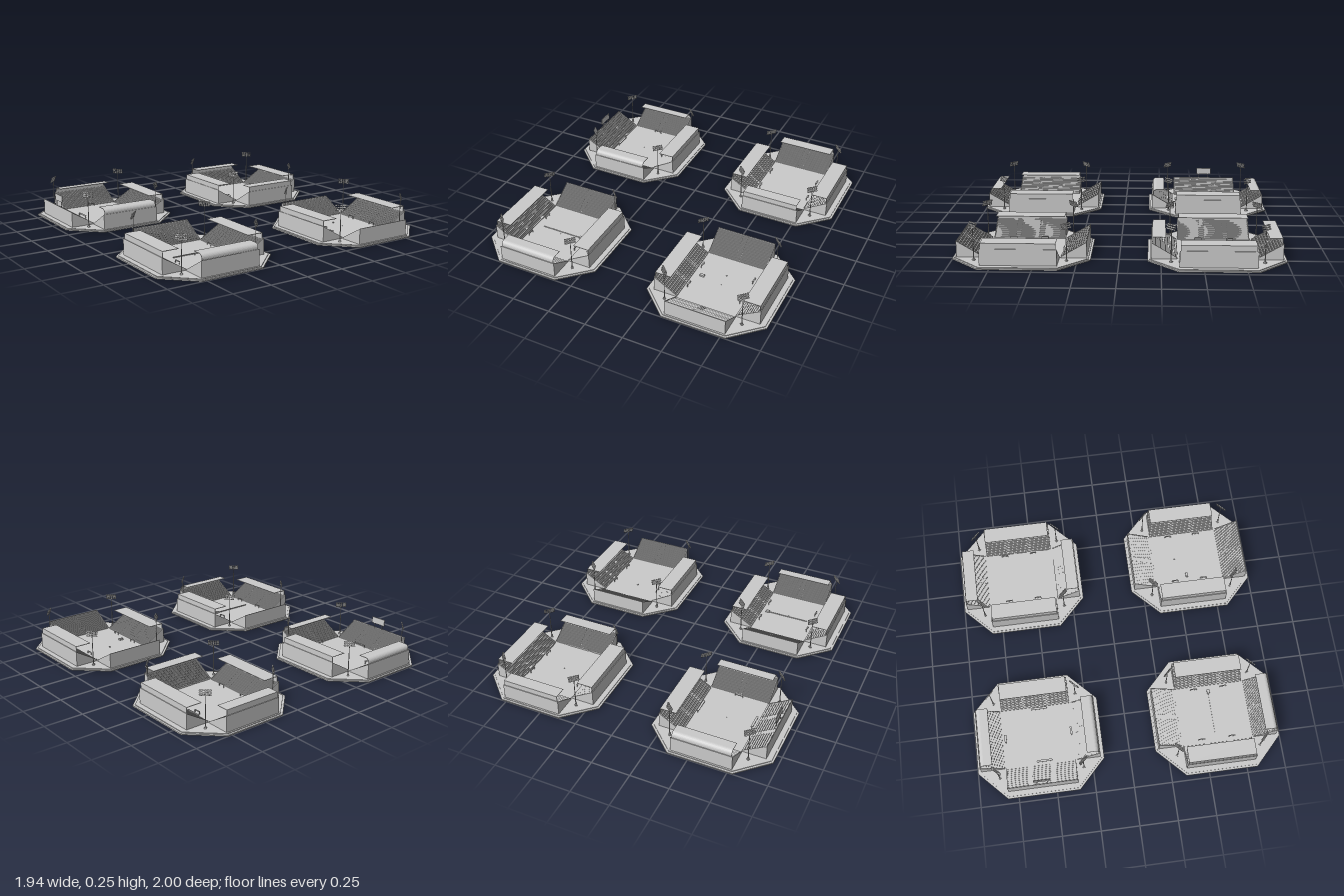
import * as THREE from 'three';

const mat = new THREE.MeshStandardMaterial({ color: 0xcccccc, flatShading: true, side: THREE.DoubleSide });
const GROUND = 0.013, DEPTH = 0.153, WALL = 0.112, ROWS = 10;

function add(parent, name, geometry, x = 0, y = 0, z = 0) {
  const mesh = new THREE.Mesh(geometry, mat);
  mesh.name = name;
  mesh.position.set(x, y, z);
  parent.add(mesh);
  return mesh;
}

const box = (parent, name, w, h, d, x, y, z) =>
  add(parent, name, new THREE.BoxGeometry(w, h, d), x, y, z);

// Extrudes a (depth, height) profile sideways, centred on x
function prism(points, width) {
  const shape = new THREE.Shape(points.map(([a, b]) => new THREE.Vector2(a, b)));
  const g = new THREE.ExtrudeGeometry(shape, { depth: width, bevelEnabled: false });
  g.rotateY(-Math.PI / 2);
  g.translate(width / 2, 0, 0);
  return g;
}

// Octagonal slab with unequal sides
function octagon(hx, hz, cx, cz, y0, height) {
  const s = new THREE.Shape([[cx, hz], [-cx, hz], [-hx, cz], [-hx, -cz], [-cx, -hz], [cx, -hz], [hx, -cz], [hx, cz]]
    .map(([x, z]) => new THREE.Vector2(x, z)));
  const g = new THREE.ExtrudeGeometry(s, { depth: height, bevelEnabled: false });
  g.rotateX(-Math.PI / 2);
  g.translate(0, y0, 0);
  return g;
}

// Staircase profile running from the pitch up to the rear wall
function stepProfile(rows, y0, y1, depth) {
  const pts = [[0, GROUND]];
  for (let i = 0; i < rows; i++) {
    const y = y0 + (y1 - y0) * i / (rows - 1);
    pts.push([depth * i / rows, y], [depth * (i + 1) / rows, y]);
  }
  pts.push([depth, GROUND]);
  return pts;
}

// Cantilevered roof: flat or with a rounded rear shoulder
function roofGeometry(kind, width, reach) {
  const t = 0.003, back = DEPTH - 0.006, top = 0.146;
  const outer = [[back, WALL - 0.01]];
  const inner = [[back - t, WALL - 0.01]];
  const r = kind === 'curved' ? 0.026 : 0;
  const n = r ? 6 : 0;
  for (let i = 0; i <= n; i++) {
    const a = n ? i / n * Math.PI / 2 : 0;
    outer.push([back - r + r * Math.cos(a), top - r + r * Math.sin(a)]);
    const q = Math.max(r - t, 0), c = r ? r : t;
    inner.push([back - c + q * Math.cos(a), top - c + q * Math.sin(a)]);
  }
  outer.push([back - reach, top]);
  inner.push([back - reach, top - t]);
  return prism([...outer, ...inner.reverse()], width);
}

// One stand, facing -z with its front edge at z = 0
function stand(width, aisles, roof, reach) {
  const g = new THREE.Group();
  add(g, 'terrace', prism(stepProfile(ROWS, 0.02, 0.1, DEPTH - 0.004), width - 0.008));
  box(g, 'rearWall', width, WALL, 0.004, 0, WALL / 2, DEPTH - 0.002);
  const cheek = [[0, GROUND], [0, 0.022], [DEPTH, WALL], [DEPTH, GROUND]];
  for (const s of [-1, 1]) add(g, 'endWall', prism(cheek, 0.004), s * (width / 2 - 0.002));

  // Seat rows, split by the aisles
  const edges = [-width / 2 + 0.006];
  for (const a of aisles) edges.push(a - 0.017, a + 0.017);
  edges.push(width / 2 - 0.006);
  const run = (DEPTH - 0.004) / ROWS;
  for (let r = 0; r < ROWS; r++) {
    const y = 0.02 + 0.08 * r / (ROWS - 1);
    for (let i = 0; i < edges.length; i += 2) {
      const w = edges[i + 1] - edges[i], x = (edges[i] + edges[i + 1]) / 2;
      box(g, 'seatRow', w, 0.005, 0.005, x, y + 0.0025, (r + 0.65) * run);
    }
  }
  // Aisle stairs with finer steps
  for (const a of aisles)
    add(g, 'aisleStairs', prism(stepProfile(ROWS * 2, 0.018, 0.105, DEPTH - 0.004), 0.03), a);
  if (roof) add(g, 'roof', roofGeometry(roof, width - 0.014, reach));
  return g;
}

// Floodlight mast, its lamp bank facing +z
function floodlight() {
  const g = new THREE.Group();
  g.name = 'floodlight';
  add(g, 'mast', new THREE.CylinderGeometry(0.002, 0.0035, 0.215, 8), 0, 0.1195, 0);
  box(g, 'mastFoot', 0.014, 0.008, 0.014, 0, 0.016, 0);
  const bank = new THREE.Group();
  bank.name = 'lampBank';
  bank.position.set(0, 0.229, 0);
  bank.rotation.x = 0.3;
  for (let r = -1; r <= 1; r++) {
    box(bank, 'lampRail', 0.072, 0.002, 0.002, 0, r * 0.013, -0.003);
    for (let c = -2; c <= 2; c++) box(bank, 'lamp', 0.011, 0.009, 0.006, c * 0.0145, r * 0.013, 0);
  }
  for (const s of [-1, 1]) box(bank, 'lampFrame', 0.002, 0.034, 0.002, s * 0.022, 0, -0.004);
  g.add(bank);
  return g;
}

// Goal-like frame with its opening across the long side
function pitchFrame(parent, x, z, w, d) {
  const h = 0.018, alongX = w > d, half = Math.max(w, d) / 2;
  for (const s of [-1, 1])
    box(parent, 'framePost', 0.003, h, 0.003, x + (alongX ? s * half : 0), GROUND + h / 2, z + (alongX ? 0 : s * half));
  box(parent, 'frameTop', w, 0.003, d, x, GROUND + h, z);
}

function stadium({ roofs, frames = [], boards = [], scoreboard }) {
  const g = new THREE.Group();
  add(g, 'baseSlab', octagon(0.394, 0.415, 0.207, 0.235, 0, 0.008));
  add(g, 'upperSlab', octagon(0.381, 0.402, 0.201, 0.229, 0.008, 0.004));
  box(g, 'pitch', 0.39, 0.002, 0.47, 0, 0.0125, 0);
  add(g, 'centreSpot', new THREE.CylinderGeometry(0.004, 0.004, 0.002, 10), 0, 0.014, 0.012);

  // Four stands around the pitch: front, left, back, right in model terms
  ['frontStand', 'leftStand', 'backStand', 'rightStand'].forEach((name, i) => {
    const side = i % 2 === 1;
    const pivot = new THREE.Group();
    pivot.name = name;
    pivot.rotation.y = i * Math.PI / 2;
    const s = side ? stand(0.456, [-0.075, 0.075], roofs[i], 0.105) : stand(0.392, [0], roofs[i], 0.08);
    s.position.z = side ? 0.194 : 0.239;
    pivot.add(s);
    g.add(pivot);
  });

  // Corner floodlights turned to the centre
  for (const sx of [-1, 1]) for (const sz of [-1, 1]) {
    const f = floodlight();
    f.position.set(sx * 0.252, 0, sz * 0.276);
    f.rotation.y = Math.atan2(-sx, -sz);
    g.add(f);
  }

  for (const [x, z, w, d] of frames) pitchFrame(g, x, z, w, d);
  for (const [x, z, w, d, h] of boards) box(g, 'pitchsideBoard', w, h, d, x, GROUND + h / 2, z);
  if (scoreboard) {
    box(g, 'scoreboard', 0.005, 0.044, 0.108, -0.335, 0.164, 0);
    for (const s of [-1, 1]) box(g, 'scoreboardPost', 0.004, 0.05, 0.004, -0.335, 0.122, s * 0.035);
  }
  return g;
}

export function createModel() {
  const model = new THREE.Group();
  model.name = 'stadiumSet';
  const sideFrames = [-1, 1].flatMap(sx => [-0.1, 0.1].map(z => [sx * 0.173, z, 0.008, 0.042]));

  // Roofs are listed front, left (+x), back, right (-x)
  const venues = [
    { name: 'backRightStadium', x: -0.575, z: -0.585, roofs: ['curved', 'flat', 'curved', null], scoreboard: true,
      frames: [[0, -0.215, 0.05, 0.014], [0, 0.22, 0.05, 0.014], [-0.178, 0.025, 0.014, 0.1], [0.178, 0.025, 0.014, 0.1]] },
    { name: 'backLeftStadium', x: 0.575, z: -0.585, roofs: ['flat', 'flat', 'flat', 'flat'], frames: sideFrames,
      boards: [[-0.135, 0.238, 0.1, 0.004, 0.012], [0.025, 0.238, 0.16, 0.004, 0.012],
        [0.192, -0.09, 0.004, 0.1, 0.012], [0.192, 0.02, 0.004, 0.07, 0.012], [0.192, 0.18, 0.004, 0.07, 0.012]] },
    { name: 'frontRightStadium', x: -0.575, z: 0.585, roofs: ['curved', 'flat', null, 'flat'], frames: sideFrames,
      boards: [[0.01, -0.005, 0.3, 0.004, 0.006], [0.15, -0.005, 0.026, 0.018, 0.012]] },
    { name: 'frontLeftStadium', x: 0.575, z: 0.585, roofs: [null, 'flat', null, 'flat'], frames: sideFrames,
      boards: [[-0.135, -0.012, 0.028, 0.016, 0.012], [0, -0.08, 0.008, 0.008, 0.006]] },
  ];
  for (const v of venues) {
    const s = stadium(v);
    s.name = v.name;
    s.position.set(v.x, 0, v.z);
    model.add(s);
  }
  return model;
}
